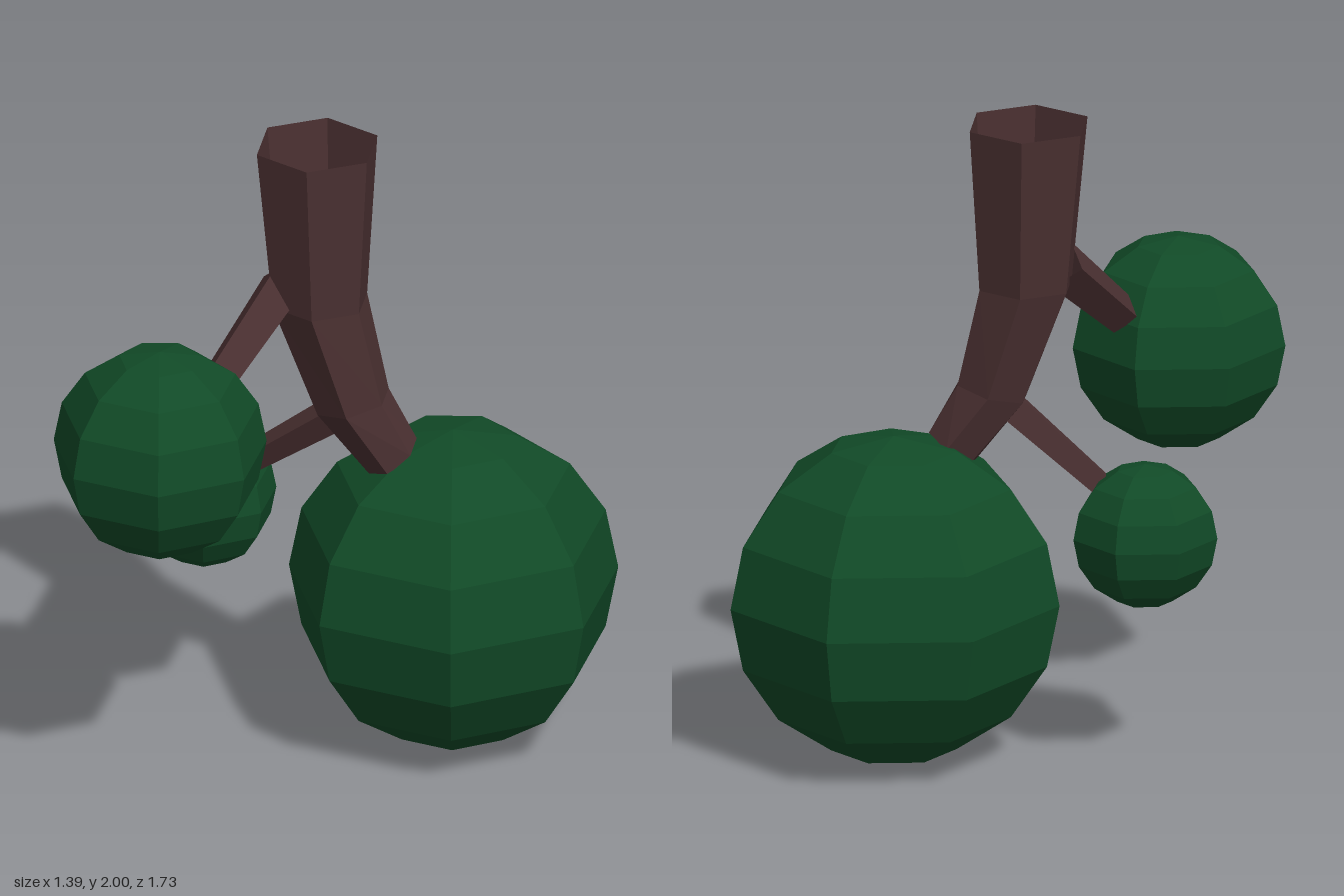
import * as THREE from 'three';

const bark = new THREE.MeshStandardMaterial({ color: 0x4a3031, flatShading: true, side: THREE.DoubleSide });
bark.name = 'dark brown bark';
const leaf = new THREE.MeshStandardMaterial({ color: 0x114a27, flatShading: true });
leaf.name = 'deep green leaves';

// Open tapered tube through rings given as [centre, radius, axis direction]
function limb(name, sides, rings) {
  const pos = [], index = [];
  for (const [c, r, d] of rings) {
    const n = new THREE.Vector3(...d).normalize();
    const u = new THREE.Vector3(1, 0, 0).addScaledVector(n, -n.x).normalize();
    const v = n.clone().cross(u);
    for (let k = 0; k < sides; k++) {
      const a = (k / sides) * Math.PI * 2;
      const p = new THREE.Vector3(...c)
        .addScaledVector(u, r * Math.cos(a))
        .addScaledVector(v, r * Math.sin(a));
      pos.push(p.x, p.y, p.z);
    }
  }
  for (let i = 0; i < rings.length - 1; i++) {
    for (let k = 0; k < sides; k++) {
      const a = i * sides + k, b = i * sides + (k + 1) % sides;
      index.push(a, b, a + sides, b, b + sides, a + sides);
    }
  }
  const g = new THREE.BufferGeometry();
  g.setAttribute('position', new THREE.Float32BufferAttribute(pos, 3));
  g.setIndex(index);
  g.computeVertexNormals();
  const m = new THREE.Mesh(g, bark);
  m.name = name;
  return m;
}

// Seven-sided ball of leaves with a corner towards +x
function foliage(name, r, x, y, z) {
  const m = new THREE.Mesh(new THREE.SphereGeometry(r, 7, 8).rotateY(Math.PI), leaf);
  m.position.set(x, y, z);
  m.name = name;
  return m;
}

export function createModel() {
  const group = new THREE.Group();
  group.name = 'hangingTree';

  // Trunk, open at the top, bending towards the largest ball
  group.add(limb('trunk', 6, [
    [[-0.115, 2, -0.08], 0.195, [0, -1, 0]],
    [[-0.1, 1.485, -0.075], 0.153, [0, -1, 0]],
    [[-0.015, 1.15, -0.13], 0.118, [0.2, -1, -0.15]],
    [[0.085, 0.965, -0.205], 0.09, [0.45, -0.75, -0.4]],
  ]));

  // Side branches
  const front = [0, -0.18, 0.22], side = [-0.34, -0.26, 0.09];
  group.add(limb('frontBranch', 4, [
    [[-0.18, 1.545, 0], 0.078, front],
    [[-0.205, 1.32, 0.275], 0.063, front],
  ]));
  group.add(limb('sideBranch', 4, [
    [[-0.02, 1.14, -0.12], 0.06, side],
    [[-0.36, 0.88, -0.03], 0.045, side],
  ]));

  // Leaves
  group.add(foliage('largeFoliage', 0.512, 0.18, 0.515, -0.37));
  group.add(foliage('mediumFoliage', 0.331, -0.22, 1.173, 0.543));
  group.add(foliage('smallFoliage', 0.224, -0.493, 0.745, 0));
  return group;
}
